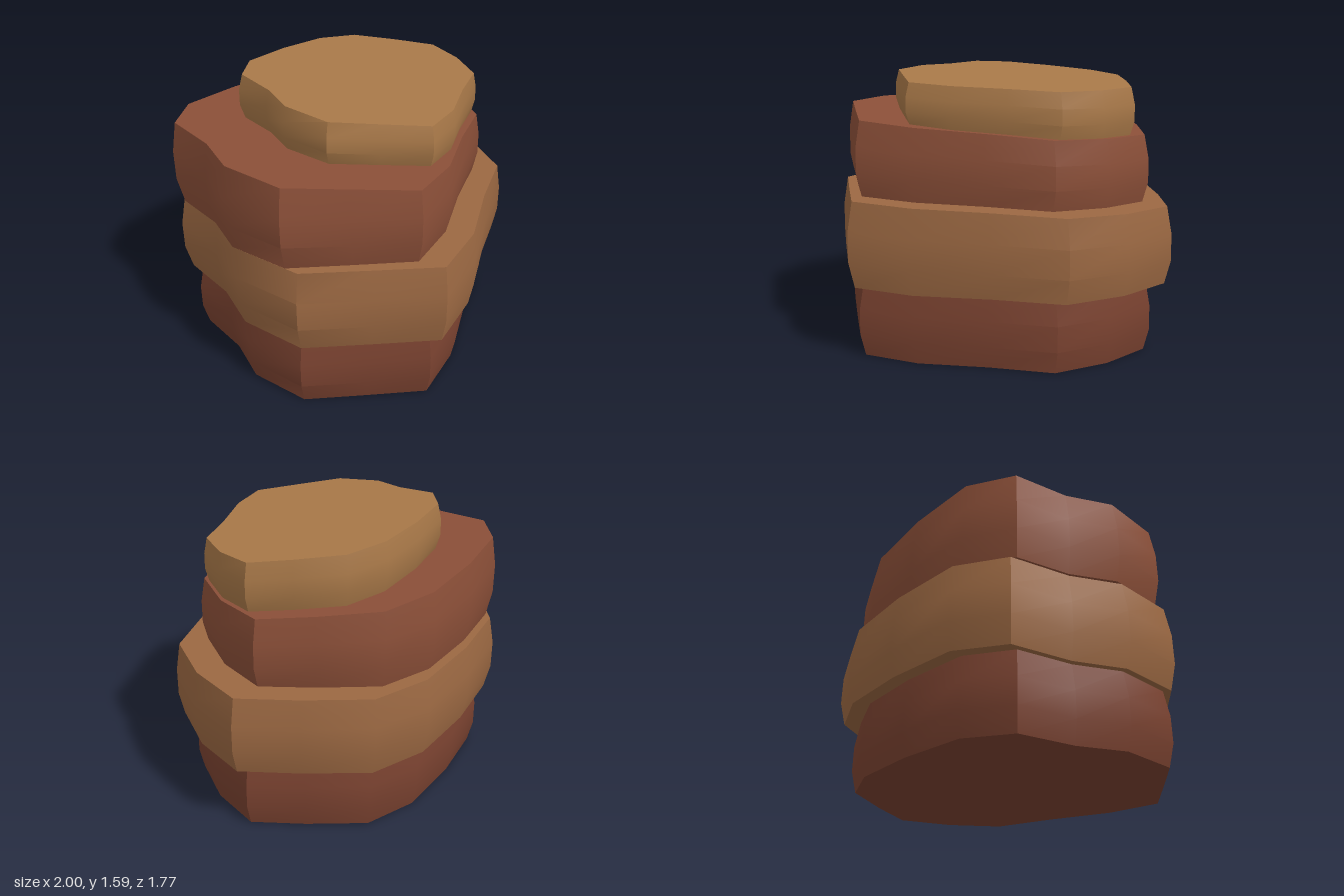
import * as THREE from 'three';
import { toCreasedNormals } from 'three/addons/utils/BufferGeometryUtils.js';

// Shared irregular outline (x, z), counter-clockwise seen from above
const OUTLINE = [
  [-0.45, 0.885], [-0.09, 0.83], [0.31, 0.66], [0.69, 0.53], [0.89, 0.23], [0.995, -0.1],
  [0.83, -0.4], [0.62, -0.72], [0.3, -0.86], [-0.14, -0.89], [-0.57, -0.86], [-0.82, -0.69],
  [-0.88, -0.34], [-1, -0.06], [-0.97, 0.33], [-0.71, 0.61],
];

// Slightly bulging side: [fraction of height, outline scale]
const PROFILE = [[0, 0.968], [0.3, 1], [0.65, 0.998], [1, 0.968]];

// Tilted planes between the stones: y = a + b * x + c * z
const plane = (a, b, c) => (x, z) => a + b * x + c * z;
const ground = plane(0, 0, 0);
const level1 = plane(0.408, -0.005, 0);
const level2 = plane(0.865, -0.027, 0.01);
const level3 = plane(1.28, -0.085, -0.03);
const level4 = plane(1.525, -0.07, -0.062);

// Stone slab between two planes: stacked rings closed by two fans
function slab(name, color, cx, cz, sx, sz, bottom, top) {
  const n = OUTLINE.length;
  const positions = [];
  const index = [];
  const addPoint = (x, z, t) =>
    positions.push(x, THREE.MathUtils.lerp(bottom(x, z), top(x, z), t), z);

  for (const [t, s] of PROFILE) {
    for (const [x, z] of OUTLINE) addPoint(cx + x * sx * s, cz + z * sz * s, t);
  }
  const rings = PROFILE.length;
  const bottomCentre = rings * n;
  const topCentre = bottomCentre + 1;
  addPoint(cx, cz, 0);
  addPoint(cx, cz, 1);

  for (let i = 0; i < n; i++) {
    const j = (i + 1) % n;
    for (let r = 0; r < rings - 1; r++) {
      const a = r * n + i, b = r * n + j;
      index.push(a, b, b + n, a, b + n, a + n);
    }
    const last = (rings - 1) * n;
    index.push(topCentre, last + i, last + j);
    index.push(bottomCentre, j, i);
  }

  const geometry = new THREE.BufferGeometry();
  geometry.setAttribute('position', new THREE.Float32BufferAttribute(positions, 3));
  geometry.setIndex(index);
  const mesh = new THREE.Mesh(
    toCreasedNormals(geometry, 0.665),
    new THREE.MeshStandardMaterial({ color })
  );
  mesh.name = name;
  return mesh;
}

export function createModel() {
  const group = new THREE.Group();
  group.name = 'stackedStones';
  group.add(
    slab('baseStone', 0x7a4230, -0.035, 0, 0.927, 0.913, ground, level1),
    slab('wideStone', 0x9b6842, 0, 0, 1, 1, level1, level2),
    slab('tiltedStone', 0x8b4f38, -0.08, -0.045, 0.92, 0.895, level2, level3),
    slab('capStone', 0xa87848, 0.075, 0.015, 0.705, 0.69, level3, level4)
  );
  return group;
}
